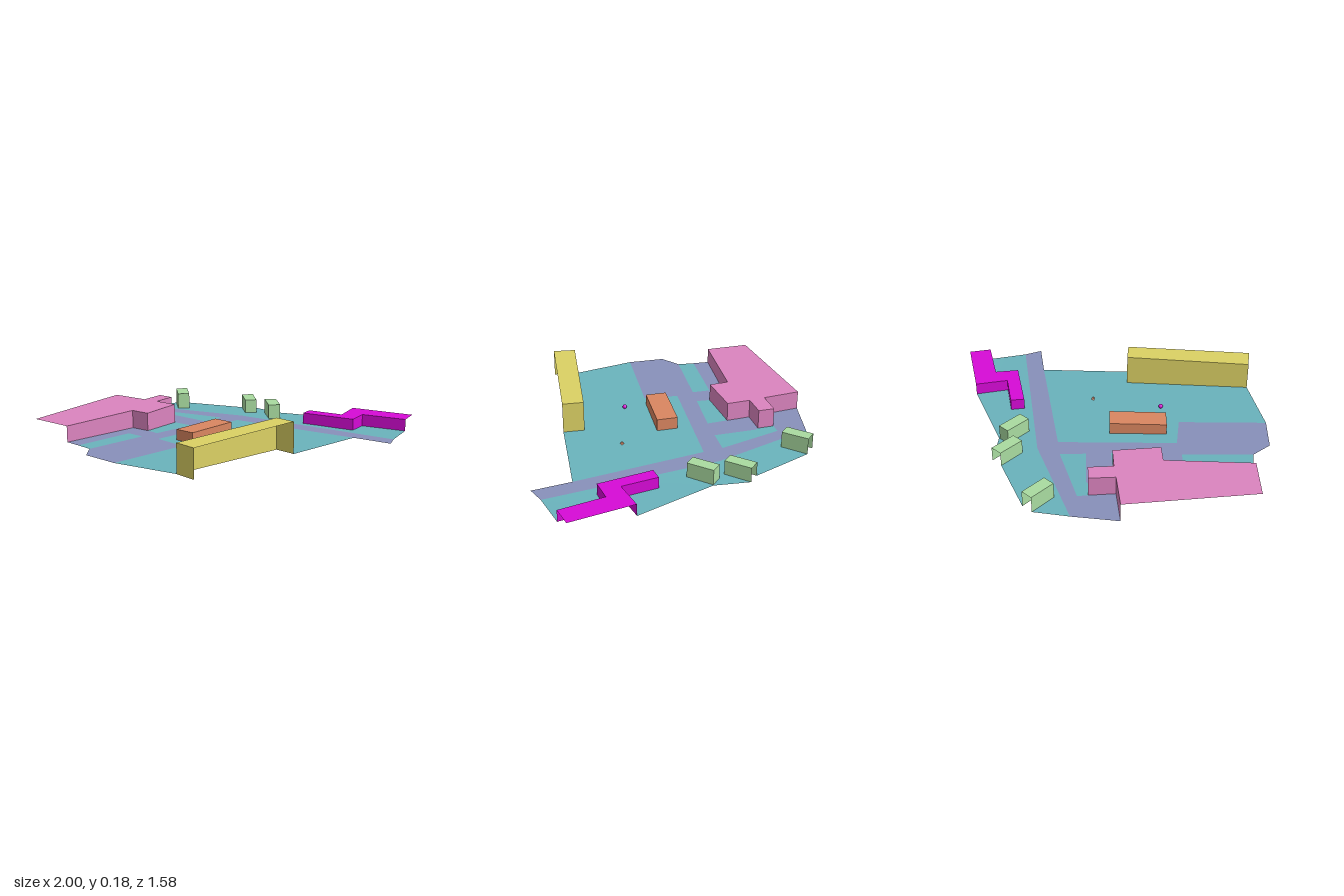
import * as THREE from 'three';

const mat = (name, color) => {
  const m = new THREE.MeshStandardMaterial({ color, side: THREE.DoubleSide });
  m.name = name;
  return m;
};

// Gentle slope of the ground
const ground = (x, z) => Math.max(0, 0.017 - 0.02 * x + 0.015 * z);

// Thin sheet from an [x, z] outline, lifted by a height rule
function sheet(points, height, hole) {
  const toV = ([x, z]) => new THREE.Vector2(x, -z);
  const shape = new THREE.Shape(points.map(toV));
  if (hole) shape.holes.push(new THREE.Path(hole.map(toV)));
  const g = new THREE.ShapeGeometry(shape).rotateX(-Math.PI / 2);
  const p = g.attributes.position;
  for (let i = 0; i < p.count; i++) p.setY(i, height(p.getX(i), p.getZ(i)));
  g.computeVertexNormals();
  return g;
}

// Walls along an [x, z] line, from the sloping ground up to a level top
function walls(line, top) {
  const v = [];
  for (let i = 0; i < line.length - 1; i++) {
    const [ax, az] = line[i], [bx, bz] = line[i + 1];
    const a = [ax, ground(ax, az), az], b = [bx, ground(bx, bz), bz];
    const c = [bx, top, bz], d = [ax, top, az];
    v.push(...a, ...b, ...c, ...a, ...c, ...d);
  }
  const g = new THREE.BufferGeometry();
  g.setAttribute('position', new THREE.Float32BufferAttribute(v, 3));
  g.computeVertexNormals();
  return g;
}

export function createModel() {
  const model = new THREE.Group();
  model.name = 'site';
  const teal = mat('teal ground', 0x6ab3bc);
  const slate = mat('slate paving', 0x8890ba);
  const pink = mat('pink', 0xdb84bf);
  const orange = mat('orange', 0xda8660);
  const yellow = mat('yellow', 0xdbd164);
  const green = mat('green', 0xa9dba0);
  const magenta = mat('magenta', 0xd60ad6);

  const add = (name, geometry, material, parent = model) => {
    const m = new THREE.Mesh(geometry, material);
    m.name = name;
    parent.add(m);
    return m;
  };

  // Building footprints: wall lines, open along the site boundary
  const pinkLine = [[-0.58, -0.57], [-0.43, -0.44], [-0.34, -0.535], [-0.28, -0.475],
    [-0.365, -0.385], [-0.275, -0.3], [-0.43, -0.12], [-0.505, -0.19], [-0.84, 0.095]];
  const magentaLine = [[0.715, -0.32], [0.62, -0.18], [0.465, -0.295], [0.42, -0.24],
    [0.655, -0.07], [0.73, -0.165], [0.93, -0.03]];
  const yellowLine = [[-0.27, 0.785], [-0.34, 0.69], [0.18, 0.3], [0.25, 0.385]];
  const orangeLine = [[-0.295, 0.08], [-0.075, -0.11], [0, -0.03], [-0.22, 0.16]];
  const hut = (x, z) => [[x, z], [x, z + 0.143], [x + 0.064, z + 0.143], [x + 0.064, z]];
  const hut1 = hut(-0.23, -0.795), hut2 = hut(0.14, -0.655), hut3 = hut(0.25, -0.508);

  // Ground patches between the paving
  const patches = [
    { outline: [[-0.385, -0.7], ...hut1, ...hut2, [0.32, -0.51], ...magentaLine,
      [0.82, 0.135], [0.11, -0.44]], hole: hut3 },
    { outline: [[0.07, -0.335], [0.62, 0.09], [0.25, 0.385], [0.18, 0.3], [-0.34, 0.69],
      [-0.615, 0.49], [-0.275, 0.2], [-0.385, 0.055]], hole: orangeLine },
    { outline: [[-0.305, -0.575], [-0.01, -0.4], [-0.105, -0.31], [-0.26, -0.47],
      [-0.28, -0.475], [-0.34, -0.535]] },
    { outline: [[-0.275, -0.3], [-0.195, -0.225], [-0.385, -0.065], [-0.43, -0.12]] },
    { outline: [[-0.785, 0.16], [-0.53, -0.07], [-0.465, 0], [-0.73, 0.23]] },
  ];
  patches.forEach((p, i) => add('groundPatch' + (i + 1), sheet(p.outline, ground, p.hole), teal));

  // Paved roads and yard
  add('paving', sheet([[-0.58, -0.57], [-0.385, -0.7], [0.11, -0.44], [0.82, 0.135],
    [0.78, 0.22], [0.62, 0.09], [0.07, -0.335], [-0.385, 0.055], [-0.275, 0.2],
    [-0.615, 0.49], [-0.745, 0.345], [-0.73, 0.23], [-0.465, 0], [-0.53, -0.07],
    [-0.785, 0.16], [-0.84, 0.095], [-0.505, -0.19], [-0.43, -0.12], [-0.385, -0.065],
    [-0.195, -0.225], [-0.275, -0.3], [-0.365, -0.385], [-0.28, -0.475], [-0.26, -0.47],
    [-0.105, -0.31], [-0.01, -0.4], [-0.305, -0.575], [-0.34, -0.535], [-0.43, -0.44]],
  ground), slate);

  // Buildings: level roof plus walls, open underneath
  const building = (name, line, top, material, extra = [], closed = false) => {
    const g = new THREE.Group();
    g.name = name;
    add('roof', sheet([...line, ...extra], () => top), material, g);
    add('walls', walls(closed ? [...line, line[0]] : line, top), material, g);
    model.add(g);
  };
  building('largeBuilding', pinkLine, 0.118, pink, [[-1, -0.07]]);
  building('angledBuilding', magentaLine, 0.063, magenta, [[0.995, -0.125]]);
  building('longBuilding', yellowLine, 0.18, yellow);
  building('centralBuilding', orangeLine, 0.08, orange, [], true);
  building('backHut', hut1, 0.095, green);
  building('middleHut', hut2, 0.08, green);
  building('frontHut', hut3, 0.083, green, [], true);

  // Small markers
  add('roundMarker', new THREE.SphereGeometry(0.012, 8, 6), magenta).position.set(-0.12, 0.035, 0.235);
  add('pointedMarker', new THREE.ConeGeometry(0.012, 0.018, 3), orange).position.set(0.205, 0.023, 0.06);

  return model;
}
